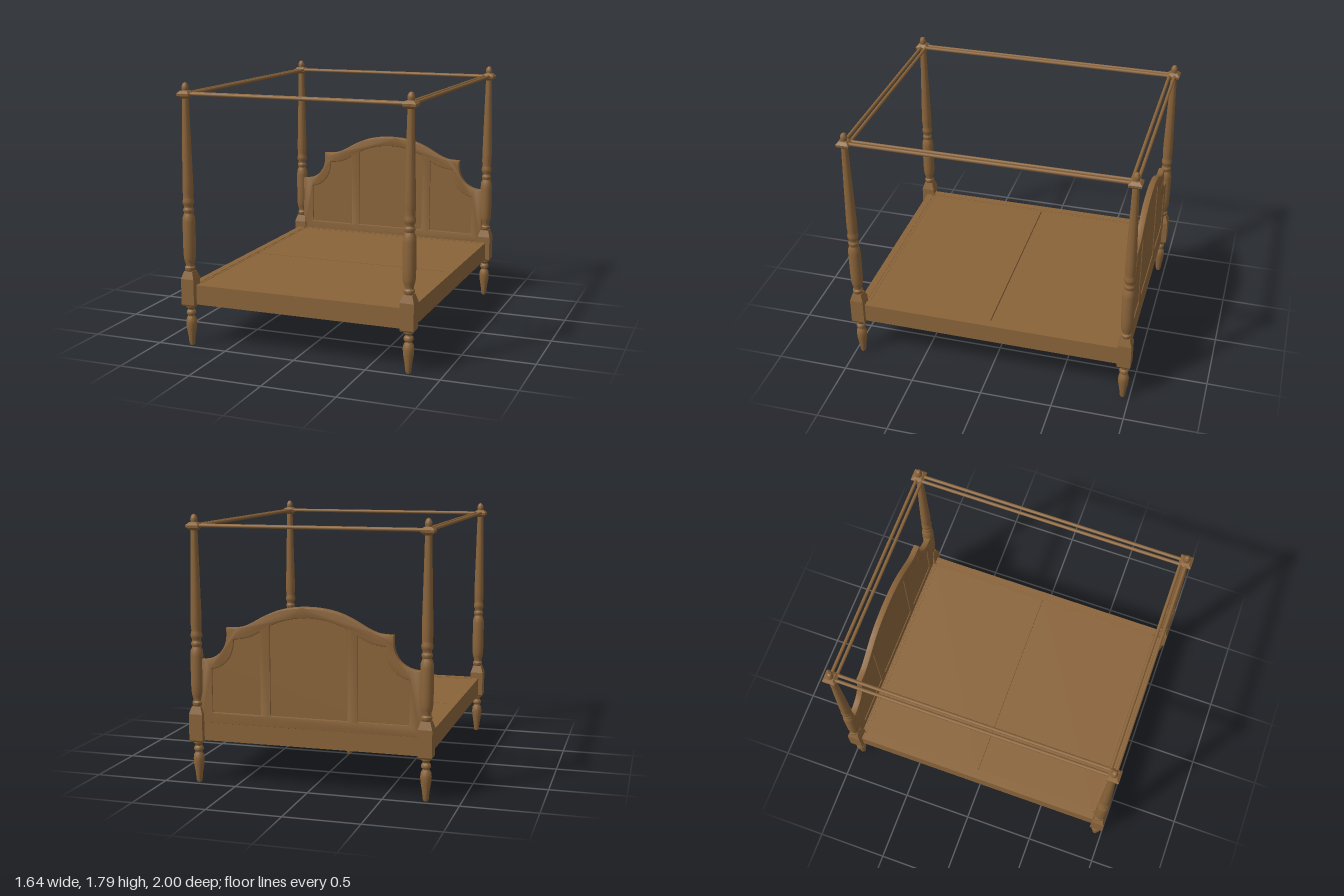
import * as THREE from 'three';
import { toCreasedNormals } from 'three/addons/utils/BufferGeometryUtils.js';

const wood = new THREE.MeshStandardMaterial({ color: 0x8a643a });
wood.name = 'brown wood';

const PX = 0.775, PZ = 0.952; // post centres

export function createModel() {
  const root = new THREE.Group();
  root.name = 'canopyBed';

  function add(parent, name, geo, x = 0, y = 0, z = 0) {
    const m = new THREE.Mesh(geo, wood);
    m.name = name;
    m.position.set(x, y, z);
    parent.add(m);
    return m;
  }
  const box = (name, w, h, d, x, y, z) => add(root, name, new THREE.BoxGeometry(w, h, d), x, y, z);

  // Round turning from [radius, height] pairs
  const turned = (pts) => toCreasedNormals(
    new THREE.LatheGeometry(pts.map(([r, y]) => new THREE.Vector2(r, y)), 20), 0.6);
  // Square turning from [half width, height] pairs
  const squared = (pts) => toCreasedNormals(
    new THREE.LatheGeometry(pts.map(([r, y]) => new THREE.Vector2(r * Math.SQRT2, y)), 4, Math.PI / 4), 0.3);

  const legGeo = turned([[0, 0], [0.015, 0], [0.02, 0.015], [0.024, 0.06], [0.034, 0.12], [0.037, 0.16],
    [0.033, 0.19], [0.023, 0.205], [0.023, 0.212], [0.031, 0.22], [0.033, 0.232], [0.029, 0.243],
    [0.022, 0.25], [0.023, 0.258], [0.034, 0.27], [0.034, 0.295], [0, 0.295]]);
  const blockGeo = squared([[0, 0.28], [0.04, 0.28], [0.047, 0.292], [0.047, 0.47], [0.031, 0.52], [0, 0.52]]);
  const shaftGeo = turned([[0.031, 0.5], [0.03, 0.522], [0.036, 0.532], [0.036, 0.547], [0.029, 0.557],
    [0.029, 0.57], [0.036, 0.59], [0.041, 0.62], [0.043, 0.68], [0.043, 0.86], [0.04, 0.895], [0.032, 0.912],
    [0.03, 0.92], [0.036, 0.933], [0.036, 0.945], [0.029, 0.956], [0.029, 0.968], [0.037, 0.982],
    [0.039, 1.0], [0.034, 1.016], [0.033, 1.03], [0.036, 1.06], [0.036, 1.12], [0.022, 1.7]]);
  const plateGeo = squared([[0, 1.685], [0.022, 1.685], [0.042, 1.702], [0.044, 1.718], [0.026, 1.736], [0, 1.738]]);
  const finialGeo = turned([[0.024, 1.73], [0.021, 1.74], [0.024, 1.75], [0.022, 1.768], [0.014, 1.784], [0, 1.791]]);

  // Four turned posts
  for (const sx of [1, -1]) for (const sz of [1, -1]) {
    const post = new THREE.Group();
    post.name = (sz > 0 ? 'front' : 'back') + (sx > 0 ? 'Left' : 'Right') + 'Post';
    post.position.set(sx * PX, 0, sz * PZ);
    root.add(post);
    add(post, 'leg', legGeo);
    add(post, 'block', blockGeo);
    add(post, 'shaft', shaftGeo);
    add(post, 'capPlate', plateGeo);
    add(post, 'finial', finialGeo);
  }
  add(root, 'centreLeg', legGeo);

  // Bed rails with an inner lip, and paired canopy rods
  const rodX = new THREE.CylinderGeometry(0.0115, 0.0115, PX * 2, 10).rotateZ(Math.PI / 2);
  const rodZ = new THREE.CylinderGeometry(0.0115, 0.0115, PZ * 2, 10).rotateX(Math.PI / 2);
  for (const s of [1, -1]) {
    box('sideRail', 0.05, 0.135, 1.84, s * 0.765, 0.3575, 0);
    box('sideLip', 0.018, 0.04, 1.78, s * 0.733, 0.402, 0);
    box('endRail', 1.48, 0.135, 0.05, 0, 0.3575, s * 0.935);
    box('endLip', 1.46, 0.04, 0.024, 0, 0.402, s * 0.9);
    for (const o of [-0.03, 0.007]) {
      add(root, 'endCanopyRod', rodX, 0, 1.715, s * (PZ + o));
      add(root, 'sideCanopyRod', rodZ, s * (PX + o), 1.715, 0);
    }
    // Deck halves
    box('deck', 1.45, 0.02, 0.884, 0, 0.41, s * 0.447);
  }

  // Support beams under the deck
  box('centreBeam', 0.06, 0.07, 1.83, 0, 0.367, 0);
  for (const z of [-0.5, 0, 0.5]) box('crossSlat', 1.5, 0.06, 0.06, 0, 0.371, z);
  box('legPad', 0.07, 0.05, 0.07, 0, 0.315, 0);

  // Headboard outline
  const outline = new THREE.Shape();
  outline.moveTo(-0.75, 0.41);
  outline.lineTo(0.75, 0.41);
  outline.lineTo(0.75, 0.838);
  outline.lineTo(0.72, 0.838);
  outline.bezierCurveTo(0.63, 0.845, 0.562, 0.91, 0.562, 1.01);
  outline.lineTo(0.562, 1.055);
  outline.lineTo(0.5, 1.057);
  outline.bezierCurveTo(0.36, 1.065, 0.3, 1.21, 0, 1.21);
  outline.bezierCurveTo(-0.3, 1.21, -0.36, 1.065, -0.5, 1.057);
  outline.lineTo(-0.562, 1.055);
  outline.lineTo(-0.562, 1.01);
  outline.bezierCurveTo(-0.562, 0.91, -0.63, 0.845, -0.72, 0.838);
  outline.lineTo(-0.75, 0.838);
  outline.closePath();

  const panelBoard = new THREE.ExtrudeGeometry(outline, { depth: 0.028, bevelEnabled: false, curveSegments: 20 });
  panelBoard.scale(0.98, 0.98, 1).translate(0, 0.012, 0);
  add(root, 'headboardPanel', panelBoard, 0, 0, -0.956);

  // Raised headboard frame with three openings
  const centre = new THREE.Path();
  centre.moveTo(-0.26, 0.485);
  centre.lineTo(-0.26, 1.078);
  centre.quadraticCurveTo(-0.14, 1.138, 0, 1.138);
  centre.quadraticCurveTo(0.14, 1.138, 0.26, 1.078);
  centre.lineTo(0.26, 0.485);
  centre.closePath();
  outline.holes.push(centre);
  for (const s of [1, -1]) {
    const side = new THREE.Path();
    side.moveTo(s * 0.33, 0.485);
    side.lineTo(s * 0.33, 1.037);
    side.quadraticCurveTo(s * 0.4, 0.985, s * 0.51, 0.98);
    side.bezierCurveTo(s * 0.51, 0.87, s * 0.57, 0.79, s * 0.665, 0.775);
    side.lineTo(s * 0.665, 0.485);
    side.closePath();
    outline.holes.push(side);
  }
  const frame = new THREE.ExtrudeGeometry(outline, {
    depth: 0.03, bevelThickness: 0.007, bevelSize: 0.008, bevelOffset: -0.008, bevelSegments: 2, curveSegments: 20,
  });
  add(root, 'headboardFrame', toCreasedNormals(frame, 0.7), 0, 0, -0.957);

  return root;
}
